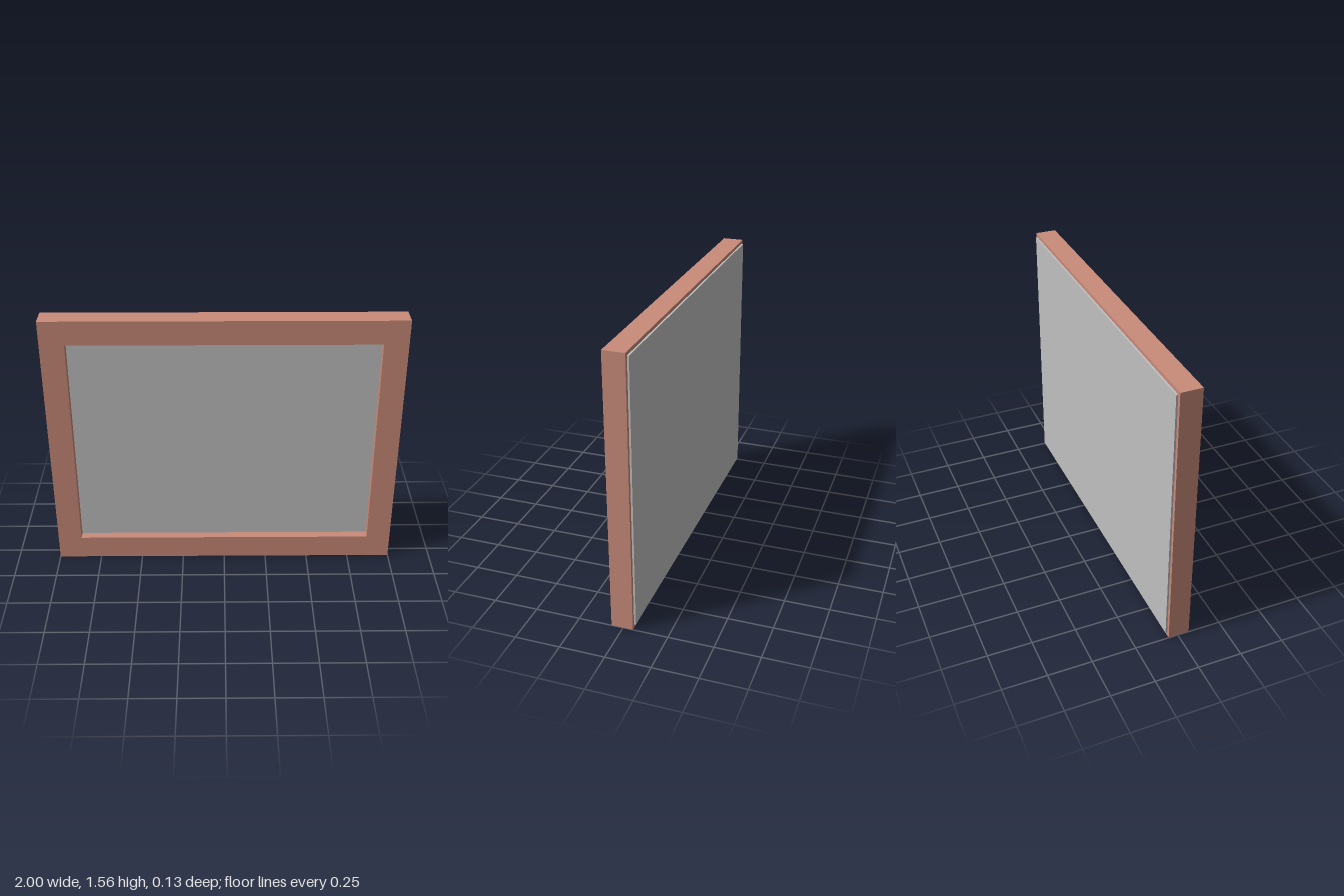
import * as THREE from 'three';

const WIDTH = 2, HEIGHT = 1.56;
const FRONT = 0.065, FRAME_BACK = -0.055;
const PANEL_FRONT = 0.015, PANEL_BACK = -0.065;

// Rectangle outline centred on x = 0 and half the frame height
function rectangle(Type, w, h) {
  const x = w / 2, y0 = (HEIGHT - h) / 2, y1 = (HEIGHT + h) / 2;
  return new Type([
    new THREE.Vector2(-x, y0), new THREE.Vector2(x, y0),
    new THREE.Vector2(x, y1), new THREE.Vector2(-x, y1),
  ]);
}

export function createModel() {
  const group = new THREE.Group();
  group.name = 'framedPanel';

  const wood = new THREE.MeshStandardMaterial({ color: 0xc98b7a });
  wood.name = 'reddish wood';
  const silver = new THREE.MeshStandardMaterial({ color: 0xc0c0c0 });
  silver.name = 'silver grey';

  // Square-edged frame with a rectangular opening
  const outline = rectangle(THREE.Shape, WIDTH, HEIGHT);
  outline.holes.push(rectangle(THREE.Path, 1.725, 1.28));
  const frame = new THREE.Mesh(
    new THREE.ExtrudeGeometry(outline, { depth: FRONT - FRAME_BACK, bevelEnabled: false }), wood);
  frame.position.z = FRAME_BACK;
  frame.name = 'frame';
  group.add(frame);

  // Panel set into the back, recessed in front and slightly proud behind
  const panel = new THREE.Mesh(
    new THREE.BoxGeometry(WIDTH - 0.04, HEIGHT - 0.04, PANEL_FRONT - PANEL_BACK), silver);
  panel.position.set(0, HEIGHT / 2, (PANEL_FRONT + PANEL_BACK) / 2);
  panel.name = 'panel';
  group.add(panel);

  return group;
}
